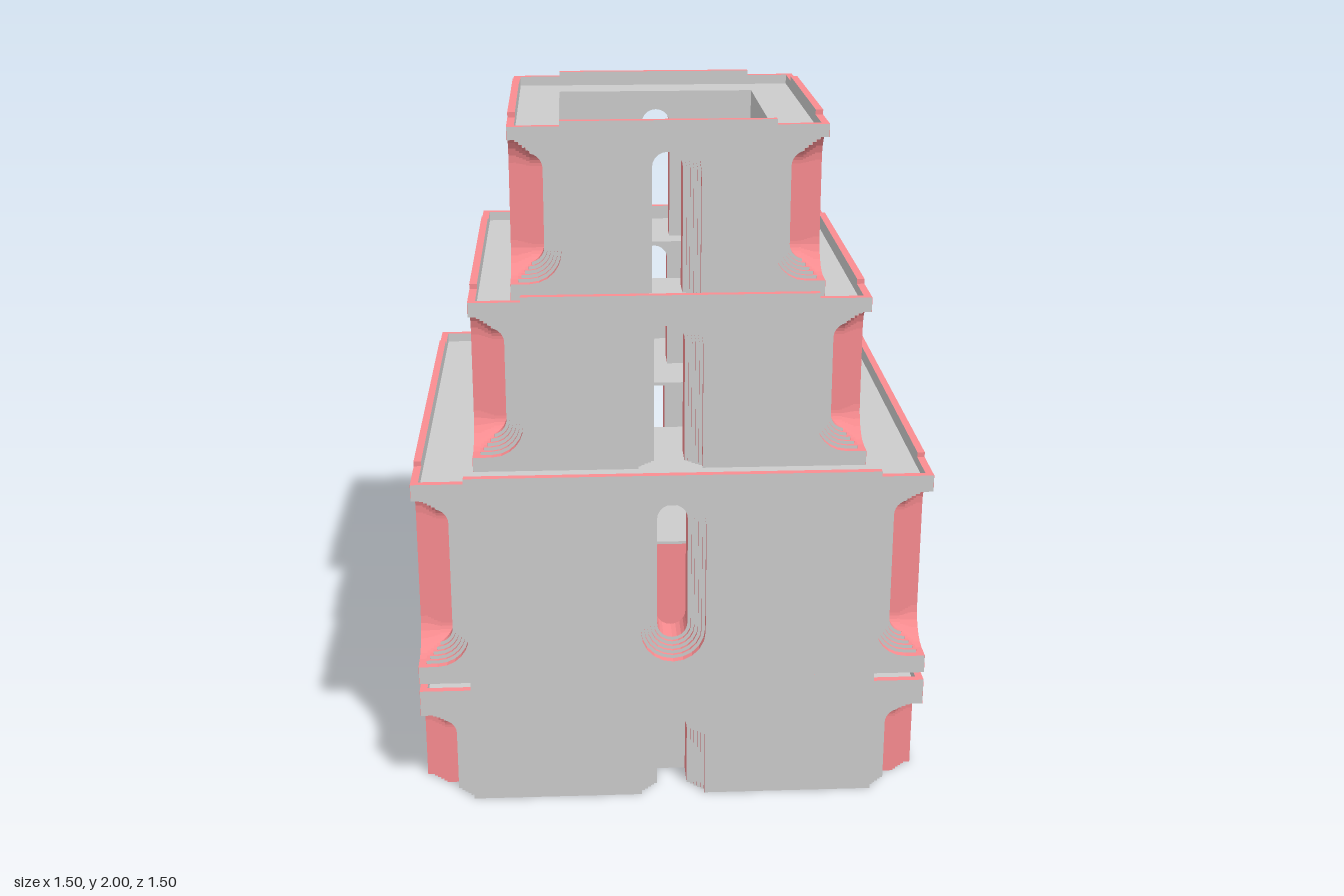
import * as THREE from 'three';

const GREY = new THREE.MeshStandardMaterial({ color: 0xcccccc, flatShading: true });
const RED = new THREE.MeshStandardMaterial({ color: 0xf98c90, flatShading: true });
const RIM = 0.022;        // thickness of the outer skin
const SINK = 0.03;        // floors lie this far below the top of the skin
// layer boundaries: skin, four shallow ring steps, deep reveal, inner lining
const DEPTHS = [0, RIM, 0.032, 0.042, 0.052, 0.062, 0.1, 0.15];
const LAYERS = DEPTHS.length - 1;

// Each storey: half width, base, top, rim height, window and corner niche (bottom null = open to the base)
const STOREYS = [
  { name: 'base', W: 0.75, y0: 0, top: 0.365, rim: 0.39, win: [null, 0.285], niche: [null, 0.285], hole: 0.39 },
  { name: 'lowerStorey', W: 0.75, y0: 0.39, top: 1.02, rim: 1.035, win: [0.445, 0.97], niche: [0.445, 0.97], hole: 0.22 },
  { name: 'middleStorey', W: 0.58, y0: 0.99, top: 1.505, rim: 1.52, win: [null, 1.462], niche: [1.035, 1.462], hole: 0.23 },
  { name: 'upperStorey', W: 0.46, y0: 1.475, top: 1.985, rim: 2.0, win: [null, 1.947], niche: [1.525, 1.947], hole: 0.31 },
];

const arc = (cy, r, a0, a1, n = 10) => Array.from({ length: n + 1 }, (_, i) => {
  const a = a0 + (a1 - a0) * i / n;
  return new THREE.Vector2(r * Math.cos(a), cy + r * Math.sin(a));
});

// One layer of a wall, with its window and the halves of the two corner niches
function layerShape(s, k) {
  const inset = 0.01 * Math.min(k, 5);
  const xe = s.W - DEPTHS[k] - 0.001, xn = s.W - 0.15 + inset;
  const w = 0.095 - inset, r = w;
  const door = s.win[0] === null, winTop = s.win[1] - inset;
  const half = [];
  const add = (x, y) => half.push(new THREE.Vector2(x, y));
  add(door ? w : 0, s.y0);
  if (xe <= xn) {
    add(xe, s.y0);
  } else {
    const m = Math.min(r, xe - xn), t = s.niche[1] - inset;
    const rise = u => r - Math.sqrt(r * r - (r - m * u * u) ** 2);
    if (s.niche[0] === null) {
      add(xn, s.y0);
    } else {
      const b = s.niche[0] + inset;
      add(xe, s.y0);
      if (xe - xn > m + 1e-4) add(xe, b);
      for (let i = 6; i >= 0; i--) add(xn + m * (i / 6) ** 2, b + rise(i / 6));
    }
    for (let i = 0; i <= 6; i++) add(xn + m * (i / 6) ** 2, t - rise(i / 6));
    if (xe - xn > m + 1e-4) add(xe, t);
  }
  // the skin rises above the floor, highest between the corners
  if (k === 0) {
    add(xe, s.top);
    add(s.W - 0.15, s.top);
    add(s.W - 0.15, s.rim);
  } else {
    add(xe, s.top - SINK);
  }
  const mirrored = half.map(p => new THREE.Vector2(-p.x, p.y)).reverse();
  if (!door) mirrored.pop();
  const pts = [...half, ...mirrored];
  if (door) pts.push(...arc(winTop - w, w, Math.PI, 0));
  const shape = new THREE.Shape(pts);
  if (!door) {
    const b = s.win[0] + inset;
    shape.holes.push(new THREE.Path([
      ...arc(winTop - w, w, 0, Math.PI), ...arc(b + w, w, Math.PI, 2 * Math.PI)]));
  }
  return shape;
}

// Horizontal square ring between two heights
function ring(outer, inner, y0, y1) {
  const sq = h => [[-h, -h], [h, -h], [h, h], [-h, h]].map(p => new THREE.Vector2(...p));
  const shape = new THREE.Shape(sq(outer));
  shape.holes.push(new THREE.Path(sq(inner)));
  const g = new THREE.ExtrudeGeometry(shape, { depth: y1 - y0, bevelEnabled: false });
  return g.rotateX(-Math.PI / 2).translate(0, y0, 0);
}

// Sort triangles into grey faces and red edges by a rule on normal and centre
function sortFaces(geo, isRed, out) {
  const p = geo.attributes.position;
  const tri = new THREE.Triangle(), n = new THREE.Vector3(), c = new THREE.Vector3();
  for (let i = 0; i < p.count; i += 3) {
    tri.setFromAttributeAndIndices(p, i, i + 1, i + 2);
    tri.getNormal(n);
    tri.getMidpoint(c);
    const list = isRed(n, c) ? out.red : out.grey;
    for (const v of [tri.a, tri.b, tri.c]) list.push(v.x, v.y, v.z);
  }
}

function meshFrom(list, material, name) {
  const g = new THREE.BufferGeometry();
  g.setAttribute('position', new THREE.Float32BufferAttribute(list, 3));
  g.computeVertexNormals();
  const mesh = new THREE.Mesh(g, material);
  mesh.name = name;
  return mesh;
}

function buildStorey(s) {
  const group = new THREE.Group();
  group.name = s.name;
  // wall: layers stacked from the skin inwards
  const out = { grey: [], red: [] };
  for (let k = 0; k < LAYERS; k++) {
    const g = new THREE.ExtrudeGeometry(layerShape(s, k), { depth: DEPTHS[k + 1] - DEPTHS[k], bevelEnabled: false });
    g.translate(0, 0, s.W - DEPTHS[k + 1]);
    sortFaces(g, (n, c) => Math.abs(n.z) < 0.5 && c.y > 0.001, out);
  }
  for (let i = 0; i < 4; i++) {
    const wall = new THREE.Group();
    wall.name = 'wall' + (i + 1);
    wall.add(meshFrom(out.grey, GREY, 'wallFaces'), meshFrom(out.red, RED, 'openingReveals'));
    wall.rotation.y = i * Math.PI / 2;
    group.add(wall);
  }
  // floor sunk inside the rim
  const floorY = s.top - SINK;
  const floor = new THREE.Mesh(ring(s.W - RIM, s.hole, floorY - 0.009, floorY + 0.001), GREY);
  floor.name = 'floor';
  group.add(floor);
  return group;
}

export function createModel() {
  const model = new THREE.Group();
  model.name = 'tower';
  for (const s of STOREYS) model.add(buildStorey(s));

  // thick inner lining that closes the ground-level doorways
  const out = { grey: [], red: [] };
  sortFaces(ring(0.6, 0.391, 0, 0.333),
    (n, c) => Math.abs(n.y) < 0.5 && Math.abs(c.z) < 0.59, out);
  const lining = new THREE.Group();
  lining.name = 'baseLining';
  lining.add(meshFrom(out.grey, GREY, 'liningFaces'), meshFrom(out.red, RED, 'liningInside'));
  model.add(lining);
  return model;
}
